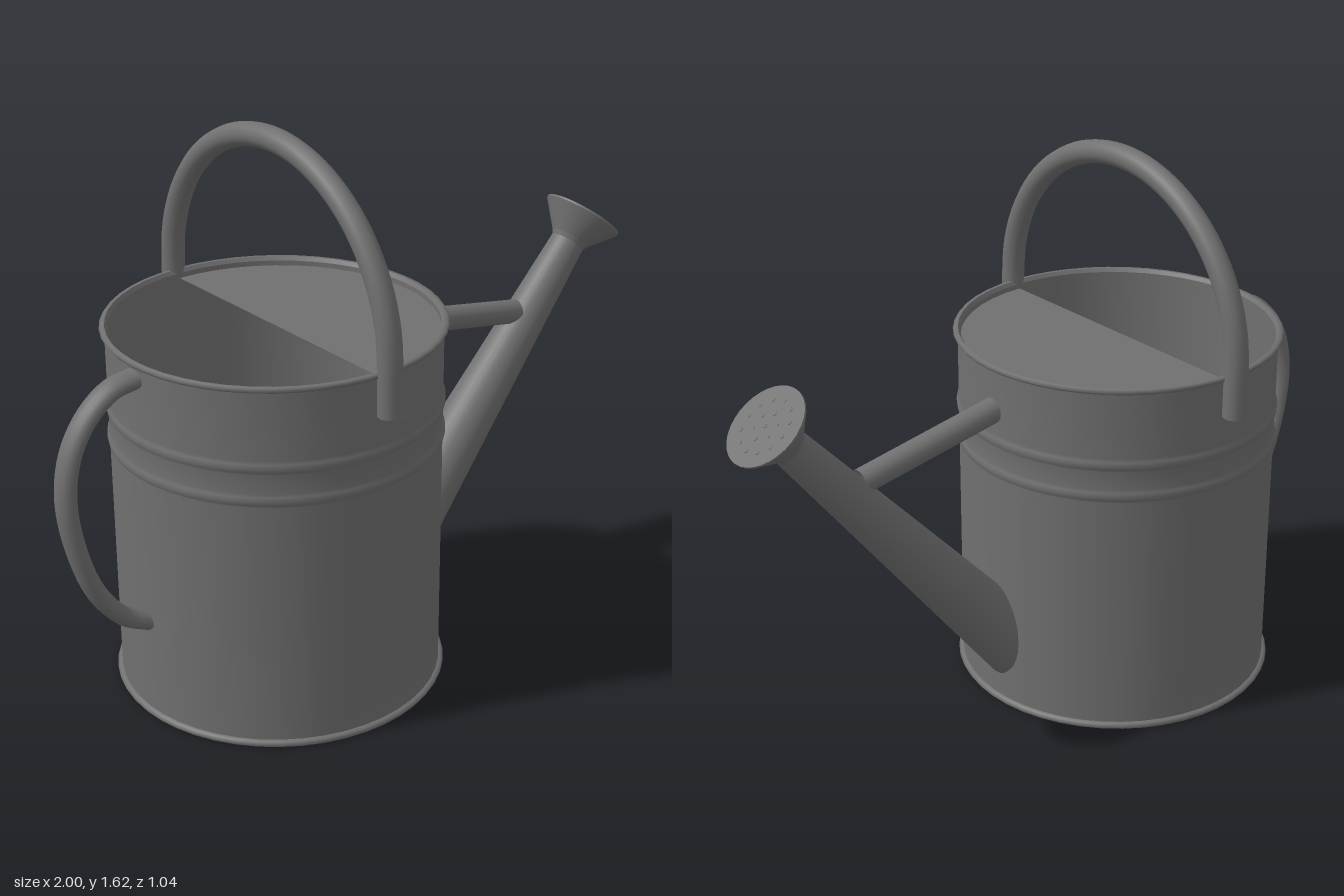
import * as THREE from 'three';

const CX = -0.285; // can axis
const R = 0.465; // can radius
const material = new THREE.MeshStandardMaterial({ color: 0x707070, side: THREE.DoubleSide });
const v3 = (x, y, z = 0) => new THREE.Vector3(x, y, z);

// Turned shape; points marked 'sharp' are doubled to keep a hard edge
const turned = (points, segments) => new THREE.LatheGeometry(
  points.flatMap(([x, y, sharp]) => Array.from({ length: sharp ? 2 : 1 }, () => new THREE.Vector2(x, y))),
  segments);

export function createModel() {
  const model = new THREE.Group();
  const add = (name, geometry, x = 0, y = 0, z = 0, parent = model) => {
    const mesh = new THREE.Mesh(geometry, material);
    mesh.name = name;
    mesh.position.set(x, y, z);
    parent.add(mesh);
    return mesh;
  };

  // Hollow can: floor, ribbed outer wall, rolled rims and inner wall
  const ribs = [0.755, 0.85].flatMap((y) => [
    [R, y - 0.02], [R + 0.005, y - 0.012], [R + 0.007, y], [R + 0.005, y + 0.012], [R, y + 0.02],
  ]);
  add('canBody', turned([
    [0, 0], [0.474, 0, 'sharp'], [0.479, 0.008], [0.474, 0.016], [R, 0.018, 'sharp'],
    ...ribs,
    [R, 1.064, 'sharp'], [0.474, 1.066], [0.479, 1.074], [0.474, 1.081], [0.464, 1.081, 'sharp'],
    [0.457, 1.07, 'sharp'], [0.457, 0.015, 'sharp'], [0, 0.015],
  ], 48), CX);

  // Half lid covering the spout side
  const lid = new THREE.CircleGeometry(0.459, 24, -Math.PI / 2, Math.PI).rotateX(-Math.PI / 2);
  add('halfLid', lid, CX, 1.055);

  // Carrying handle: straight legs joined by a semicircle
  const hoop = new THREE.CurvePath();
  const arc = [];
  for (let i = 0; i <= 16; i++) {
    const a = (i / 16) * Math.PI;
    arc.push(v3(CX, 1.098 + 0.488 * Math.sin(a), 0.488 * Math.cos(a)));
  }
  hoop.add(new THREE.LineCurve3(v3(CX, 0.96, 0.488), arc[0]));
  hoop.add(new THREE.CatmullRomCurve3(arc));
  hoop.add(new THREE.LineCurve3(arc[16], v3(CX, 0.96, -0.488)));
  add('topHandle', new THREE.TubeGeometry(hoop, 56, 0.034, 14));
  for (const s of [1, -1]) {
    add('topHandleEnd', new THREE.CircleGeometry(0.034, 14).rotateX(Math.PI / 2), CX, 0.96, s * 0.488);
  }

  // Rear grip: a curved tube, wider across than it is thick
  const grip = new THREE.CatmullRomCurve3([
    [-0.745, 1.028], [-0.82, 1.015], [-0.895, 0.96], [-0.951, 0.87], [-0.974, 0.75],
    [-0.956, 0.6], [-0.9, 0.44], [-0.82, 0.337], [-0.745, 0.295],
  ].map(([x, y]) => v3(x, y)));
  add('rearHandle', new THREE.TubeGeometry(grip, 40, 0.027, 14)).scale.z = 1.4;

  // Tapered spout, its base ring slid along the axis to meet the can wall
  const base = v3(0.18, 0.24);
  const neck = v3(0.848, 1.035);
  const axis = neck.clone().sub(base).normalize();
  const turn = new THREE.Quaternion().setFromUnitVectors(v3(0, 1, 0), axis);
  const length = base.distanceTo(neck);
  const spout = new THREE.CylinderGeometry(0.053, 0.099, length, 28, 1, true)
    .translate(0, length / 2, 0).applyQuaternion(turn).translate(base.x, base.y, 0);
  const p = spout.attributes.position;
  for (let i = p.count / 2; i < p.count; i++) {
    const q = v3(p.getX(i), p.getY(i), p.getZ(i));
    const wallX = CX + Math.sqrt(R * R - q.z * q.z) - 0.004;
    q.addScaledVector(axis, (wallX - q.x) / axis.x);
    p.setXYZ(i, q.x, q.y, q.z);
  }
  add('spout', spout);

  // Flared rose with a perforated face
  const rose = new THREE.Group();
  rose.name = 'rose';
  rose.position.copy(neck);
  rose.quaternion.copy(turn);
  model.add(rose);
  add('roseHead', turned([
    [0.05, -0.01], [0.06, 0.01, 'sharp'], [0.123, 0.088, 'sharp'], [0.123, 0.094, 'sharp'], [0, 0.094],
  ], 32), 0, 0, 0, rose);
  const hole = new THREE.CylinderGeometry(0.006, 0.006, 0.002, 8);
  [[1, 0], [6, 0.04], [12, 0.08]].forEach(([count, radius]) => {
    for (let i = 0; i < count; i++) {
      const a = (i / count) * Math.PI * 2;
      add('roseHole', hole, radius * Math.cos(a), 0.0945, radius * Math.sin(a), rose);
    }
  });

  // Brace between can and spout
  const brace = new THREE.LineCurve3(v3(0.172, 0.941), v3(0.628, 0.858));
  add('spoutBrace', new THREE.TubeGeometry(brace, 1, 0.037, 18));

  return model;
}
